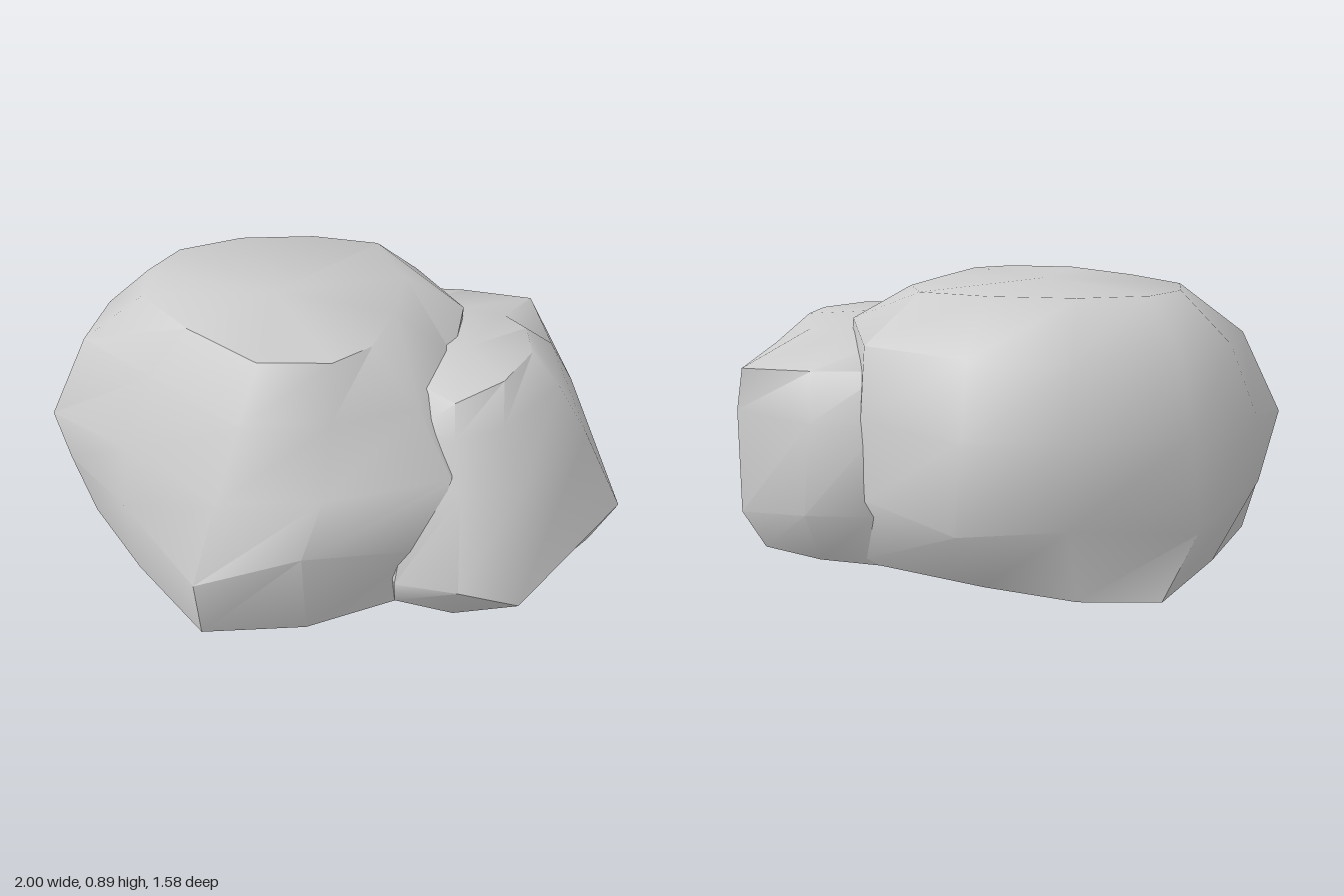
import * as THREE from 'three';
import { toCreasedNormals } from 'three/addons/utils/BufferGeometryUtils.js';

// Lofts a hollow boulder, open below, through rings of [x, z, optional height offset], left > front > right > back.
function boulder(name, rings, crown) {
  const pos = [], index = [];
  const n = rings[0].pts.length;
  for (const { y, pts } of rings) for (const [x, z, dy = 0] of pts) pos.push(x, y + dy, z);
  for (let r = 0; r < rings.length - 1; r++) {
    for (let i = 0; i < n; i++) {
      const a = r * n + i, b = r * n + (i + 1) % n;
      index.push(a, b, b + n, a, b + n, a + n);
    }
  }
  // Close the crown
  const top = pos.length / 3, last = (rings.length - 1) * n;
  pos.push(...crown);
  for (let i = 0; i < n; i++) index.push(top, last + i, last + (i + 1) % n);
  const geo = new THREE.BufferGeometry();
  geo.setAttribute('position', new THREE.Float32BufferAttribute(pos, 3));
  geo.setIndex(index);
  const mesh = new THREE.Mesh(
    toCreasedNormals(geo, THREE.MathUtils.degToRad(50)),
    new THREE.MeshStandardMaterial({ color: 0xcccccc, roughness: 0.9, side: THREE.DoubleSide })
  );
  mesh.name = name;
  return mesh;
}

export function createModel() {
  const group = new THREE.Group();
  group.name = 'boulders';

  // Large boulder with a pointed front, an undercut left flank and a broad, nearly flat crown
  group.add(boulder('largeBoulder', [
    { y: 0, pts: [[-0.9, 0.2], [-0.65, 0.47], [-0.36, 0.73], [-0.02, 0.66], [0.28, 0.49], [0.4, 0.2],
      [0.38, -0.2], [0.26, -0.54], [-0.2, -0.6], [-0.5, -0.61], [-0.74, -0.53], [-0.84, -0.15]] },
    { y: 0.25, pts: [[-0.96, 0.2], [-0.66, 0.5, 0.07], [-0.35, 0.79, 0.03], [-0.02, 0.71, 0.11], [0.35, 0.5], [0.39, 0.15],
      [0.39, -0.25], [0.18, -0.64], [-0.18, -0.79, -0.02], [-0.49, -0.69], [-0.83, -0.48, -0.04], [-0.97, -0.15, 0.04]] },
    { y: 0.5, pts: [[-1, 0.19, -0.06], [-0.66, 0.42], [-0.3, 0.65], [0.03, 0.59], [0.42, 0.46, 0.03], [0.4, 0.1],
      [0.41, -0.25], [0.21, -0.59], [-0.18, -0.75], [-0.47, -0.67], [-0.8, -0.44], [-0.95, -0.14]] },
    { y: 0.72, pts: [[-0.87, 0.12], [-0.58, 0.31], [-0.24, 0.53], [0.04, 0.48], [0.3, 0.36], [0.39, 0.05],
      [0.41, -0.22, 0.03], [0.22, -0.53], [-0.16, -0.63], [-0.45, -0.56], [-0.74, -0.38], [-0.86, -0.13]] },
    { y: 0.88, pts: [[-0.66, 0.07], [-0.46, 0.25], [-0.2, 0.41], [0.03, 0.38], [0.14, 0.27], [0.19, 0.05, -0.01],
      [0.2, -0.2, -0.01], [0.08, -0.41], [-0.16, -0.43], [-0.42, -0.38], [-0.62, -0.26], [-0.69, -0.1]] },
  ], [-0.22, 0.89, 0]));

  // Small boulder leaning into the large one, its top sloping to the back
  group.add(boulder('smallBoulder', [
    { y: 0, pts: [[0.08, 0], [0.26, 0.5], [0.46, 0.53], [0.63, 0.48], [0.93, 0.1],
      [0.82, -0.2], [0.61, -0.53], [0.38, -0.57], [0.16, -0.55]] },
    { y: 0.2, pts: [[0.08, 0], [0.26, 0.56, -0.06], [0.47, 0.63], [0.67, 0.57, -0.09], [1, 0.16, 0.03],
      [0.89, -0.22, -0.06], [0.69, -0.54, -0.08], [0.36, -0.7], [0.15, -0.64]] },
    { y: 0.48, pts: [[0.1, 0], [0.3, 0.44], [0.45, 0.48], [0.65, 0.42], [0.86, 0.1],
      [0.82, -0.22], [0.68, -0.55], [0.37, -0.63], [0.14, -0.58]] },
    { y: 0.64, pts: [[0.1, 0], [0.3, 0.36], [0.42, 0.4], [0.57, 0.32], [0.75, 0.06],
      [0.73, -0.2], [0.66, -0.54, -0.02], [0.4, -0.55, -0.01], [0.15, -0.52]] },
    { y: 0.74, pts: [[0.2, 0], [0.3, 0.25, -0.01], [0.41, 0.33, -0.01], [0.56, 0.2], [0.65, 0.02],
      [0.63, -0.13], [0.56, -0.25, -0.03], [0.4, -0.28, -0.03], [0.2, -0.25, -0.03]] },
  ], [0.43, 0.74, 0.02]));

  return group;
}
